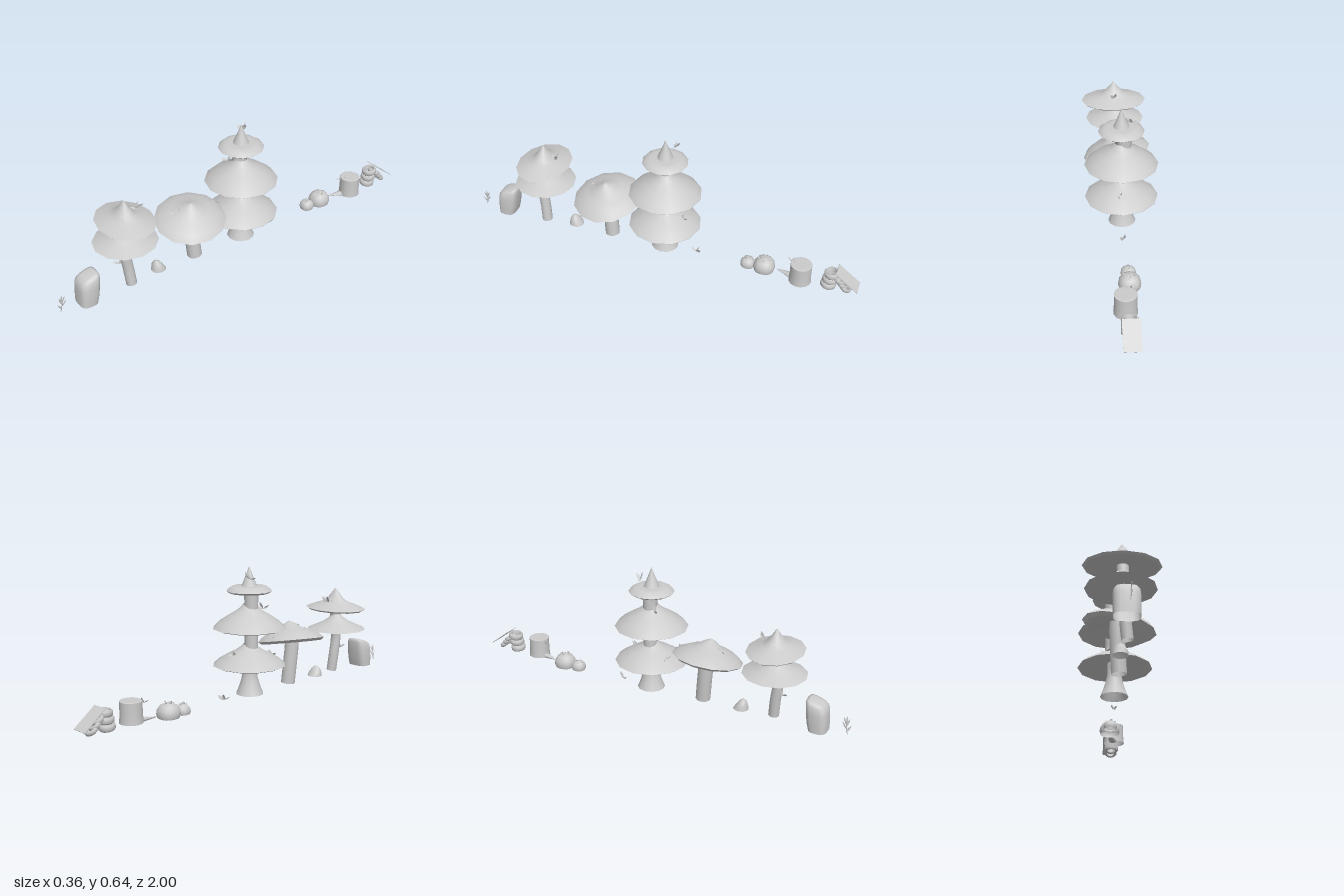
import * as THREE from 'three';

const mat = new THREE.MeshStandardMaterial({ color: 0xcccccc, roughness: 0.9, side: THREE.DoubleSide });

function add(parent, name, geo, x = 0, y = 0, z = 0) {
  const m = new THREE.Mesh(geo, mat);
  m.name = name;
  m.position.set(x, y, z);
  parent.add(m);
  return m;
}

function lathe(profile, sides = 12) {
  return new THREE.LatheGeometry(profile.map(([r, y]) => new THREE.Vector2(r, y)), sides);
}

// Cap: smooth upper shell, separate rim band and shallow underside keep the edges crisp
function cap(parent, name, upper, rim, under, x, y, z) {
  const g = new THREE.Group();
  g.name = name;
  g.position.set(x, y, z);
  add(g, name + 'Top', lathe(upper));
  if (rim) add(g, name + 'Rim', lathe(rim));
  add(g, name + 'Underside', lathe(under));
  parent.add(g);
  return g;
}

function tube(points, r, sides = 12) {
  const curve = new THREE.CatmullRomCurve3(points.map(p => new THREE.Vector3(...p)));
  return new THREE.TubeGeometry(curve, 10, r, sides);
}

// Pointed leaf growing along +y, bending towards +z
function leafGeometry(length, width, bend) {
  const g = new THREE.PlaneGeometry(1, 1, 2, 5);
  const p = g.attributes.position;
  for (let i = 0; i < p.count; i++) {
    const t = p.getY(i) + 0.5, side = p.getX(i);
    const w = width * Math.sin(Math.PI * Math.min(1, 0.08 + 0.92 * t));
    p.setXYZ(i, side * w, length * t, bend * t * t + Math.abs(side) * w * 0.5);
  }
  g.computeVertexNormals();
  return g;
}

// Small tuft of leaves fanned around an axis
function tuft(parent, x, y, z, size = 0.045, turn = 0, lean = 0) {
  const g = new THREE.Group();
  g.name = 'leafTuft';
  g.position.set(x, y, z);
  g.rotation.set(lean, turn, 0, 'YXZ');
  const geo = leafGeometry(size, size * 0.42, size * 0.25);
  [-0.85, 0, 0.8].forEach((a, i) => {
    const leaf = add(g, 'leaf', geo);
    leaf.rotation.set(0.25, i * 1.9, a, 'ZYX');
    leaf.scale.setScalar(1 - 0.15 * i);
  });
  parent.add(g);
}

// Superellipse loft: rings of [y, halfX, halfZ, centreZ, tilt]
function loft(rings, sides, power) {
  const pos = [], idx = [];
  rings.forEach(([y, hx, hz, cz, tilt], j) => {
    for (let i = 0; i < sides; i++) {
      const a = i / sides * Math.PI * 2, c = Math.cos(a), s = Math.sin(a);
      const z = Math.sign(s) * Math.abs(s) ** power * hz;
      pos.push(Math.sign(c) * Math.abs(c) ** power * hx, y - tilt * z, cz + z);
      if (j < rings.length - 1) {
        const p = j * sides + i, q = j * sides + (i + 1) % sides;
        idx.push(p, p + sides, q, q, p + sides, q + sides);
      }
    }
  });
  const g = new THREE.BufferGeometry();
  g.setAttribute('position', new THREE.Float32BufferAttribute(pos, 3));
  g.setIndex(idx);
  g.computeVertexNormals();
  return g;
}

function tallTree(root) {
  const g = new THREE.Group();
  g.name = 'threeTierTree';
  g.position.z = -0.02;
  add(g, 'flaredTrunk', lathe([[0.068, 0.013], [0.055, 0.045], [0.042, 0.085], [0.035, 0.125], [0.034, 0.2]]), -0.003);
  add(g, 'upperTrunk', lathe([[0.034, 0.19], [0.033, 0.3], [0.033, 0.4], [0.036, 0.54]]), -0.014);
  const upper = [[0.178, 0], [0.15, 0.028], [0.105, 0.058], [0.065, 0.082], [0.042, 0.1], [0.03, 0.115]];
  const rim = [[0.165, -0.006], [0.18, 0]];
  const under = [[0.03, 0.025], [0.1, 0.008], [0.165, -0.006]];
  cap(g, 'lowerCap', upper.map(([r, y]) => [r, y * 0.88]), rim, under, 0, 0.16, 0);
  cap(g, 'middleCap', upper, rim, under, 0, 0.342, 0);
  cap(g, 'topCap', [[0.111, 0.003], [0.102, 0.012], [0.082, 0.025], [0.06, 0.026], [0.038, 0.027]],
    [[0.098, -0.006], [0.111, 0.003]], [[0.03, 0.01], [0.098, -0.006]], 0, 0.519, 0);
  add(g, 'spire', lathe([[0.039, 0.545], [0.026, 0.575], [0.013, 0.607], [0, 0.643]]));
  root.add(g);
  tuft(root, -0.045, 0.585, -0.055, 0.045, 0.6, -0.3);
  tuft(root, -0.05, 0.435, 0.025, 0.045, 1.2, 0.3);
  tuft(root, -0.05, 0.195, 0.085, 0.042, 0.4, 0.3);
  tuft(root, 0.01, 0.205, -0.105, 0.042, 2, 0.3);
  tuft(root, 0, 0.013, -0.185, 0.042, 1.6);
}

function mushroom(root) {
  const g = new THREE.Group();
  g.name = 'leaningMushroom';
  add(g, 'stem', tube([[0.005, 0.013, 0.263], [0, 0.1, 0.27], [-0.004, 0.2, 0.279], [-0.004, 0.26, 0.283]], 0.036));
  const c = cap(g, 'broadCap', [[0.173, 0.005], [0.145, 0.03], [0.1, 0.052], [0.06, 0.066], [0.03, 0.088], [0, 0.103]],
    [[0.155, -0.008], [0.173, 0.005]], [[0.02, 0.025], [0.09, 0.01], [0.155, -0.008]], 0.004, 0.23, 0.282);
  c.rotation.set(0.08, 0, -0.2);
  root.add(g);
  tuft(root, 0, 0.275, 0.35, 0.045, 1.4, 0.2);
  tuft(root, 0, 0.245, 0.15, 0.04, 1.6, -0.2);
}

function twoTierTree(root) {
  const g = new THREE.Group();
  g.name = 'twoTierTree';
  add(g, 'trunk', tube([[0.02, 0.013, 0.625], [0.012, 0.1, 0.632], [0.008, 0.2, 0.643], [0.004, 0.28, 0.632], [0.002, 0.38, 0.618]], 0.026));
  const low = cap(g, 'lowerCap', [[0.155, 0], [0.11, 0.02], [0.07, 0.038], [0.04, 0.058], [0.022, 0.078]],
    null, [[0.025, 0.008], [0.155, 0]], -0.006, 0.246, 0.627);
  low.scale.z = 0.99;
  const top = cap(g, 'upperCap', [[0.172, 0.004], [0.125, 0.021], [0.085, 0.033], [0.052, 0.05], [0.025, 0.08], [0, 0.112]],
    [[0.16, -0.004], [0.172, 0.004]], [[0.02, 0.006], [0.16, -0.004]], 0, 0.354, 0.624);
  top.scale.z = 0.77;
  root.add(g);
  tuft(root, 0, 0.395, 0.565, 0.045, 1.4, -0.2);
  tuft(root, 0, 0.135, 0.67, 0.045, 1.5, 0.2);
}

function rocks(root) {
  // Tall boulder with a sloping top and an open base
  add(root, 'boulder', loft([
    [0.008, 0.055, 0.043, 0.853, 0], [0.05, 0.057, 0.048, 0.847, 0], [0.1, 0.057, 0.05, 0.842, 0.1],
    [0.132, 0.053, 0.05, 0.838, 0.25], [0.148, 0.043, 0.042, 0.834, 0.28], [0.153, 0.028, 0.028, 0.832, 0.28],
    [0.154, 0, 0, 0.832, 0]], 20, 0.62), 0.005);
  add(root, 'pebble', loft([
    [0.014, 0.036, 0.037, 0, 0], [0.034, 0.033, 0.029, 0.003, -0.1], [0.053, 0.022, 0.018, 0.008, 0],
    [0.063, 0.009, 0.009, 0.01, 0], [0.065, 0, 0, 0.01, 0]], 10, 0.9), 0, 0, 0.466);
  // Two low mounds with sprouts
  const dome = [[0.9, 0], [1, 0.25], [0.94, 0.55], [0.72, 0.83], [0.38, 0.97], [0, 1]];
  [['largeMound', 0.053, 0.068, -0.535, 4], ['smallMound', 0.036, 0.046, -0.452, 2]].forEach(([name, r, h, z, n]) => {
    add(root, name, loft(dome.map(([s, y]) => [y * h, s * r, s * r, 0, 0]), 14, 0.85), -0.003, 0.002, z);
    for (let i = 0; i < n; i++) {
      const a = i / n * Math.PI * 2 + Math.PI / 2;
      tuft(root, Math.cos(a) * r * 0.3, h * 0.92, z + Math.sin(a) * r * 0.45, 0.02, a);
    }
  });
}

function stump(root) {
  const g = new THREE.Group();
  g.name = 'stump';
  add(g, 'stumpBody', lathe([[0.055, 0.013], [0.052, 0.05], [0.052, 0.112]], 14), 0.028, 0, -0.72);
  add(g, 'stumpTop', lathe([[0.052, 0.112], [0.045, 0.115], [0, 0.113]], 14), 0.028, 0, -0.72);
  // Root tapering away along the ground
  const r = add(g, 'root', new THREE.CylinderGeometry(0.003, 0.024, 0.09, 8), 0.01, 0.02, -0.645);
  r.rotation.set(Math.PI / 2, 0, 0.25);
  r.scale.z = 0.6;
  root.add(g);
  tuft(root, 0.005, 0.098, -0.667, 0.035, 1.4);
}

function ringPile(root) {
  const g = new THREE.Group();
  g.name = 'ringPile';
  const ring = lathe([[0.023, -0.012], [0.031, -0.016], [0.038, -0.008], [0.038, 0.008], [0.031, 0.016], [0.023, 0.012], [0.023, -0.012]], 14);
  for (let i = 0; i < 3; i++) {
    const m = add(g, 'stackedRing', ring, 0.02, 0.027 + i * 0.033, -0.856 - i * 0.006);
    m.rotation.x = 0.12 * (i - 1);
  }
  // Rings resting at an angle under the board
  for (let i = 0; i < 3; i++) {
    const m = add(g, 'leaningRing', ring, 0.02, 0.073 - i * 0.02, -0.905 - i * 0.016);
    m.rotation.x = -0.65;
    m.scale.set(0.9, 0.75, 0.9);
  }
  const board = add(g, 'leaningBoard', new THREE.BoxGeometry(0.08, 0.003, 0.138), 0.017, 0.08, -0.944);
  board.rotation.x = -0.66;
  root.add(g);
}

// Flat upright sprig with side shoots
function sprig(root) {
  const g = new THREE.Group();
  g.name = 'sprig';
  g.position.set(0.012, 0.013, 0.975);
  add(g, 'sprigStem', tube([[0, 0, 0.01], [0, 0.03, 0.003], [0, 0.055, 0]], 0.002, 6));
  const blade = leafGeometry(0.05, 0.011, 0.006);
  [[0.01, 0.55], [0.025, -0.6], [0.04, 0.3], [0.045, -0.45], [0.05, -0.05]].forEach(([y, a]) => {
    const l = add(g, 'blade', blade, 0, y, 0.003);
    l.rotation.set(a, Math.PI / 2, 0, 'XYZ');
    l.scale.setScalar(0.8);
  });
  root.add(g);
}

export function createModel() {
  const root = new THREE.Group();
  root.name = 'forestProps';
  [tallTree, mushroom, twoTierTree, rocks, stump, ringPile, sprig].forEach(build => build(root));
  return root;
}
